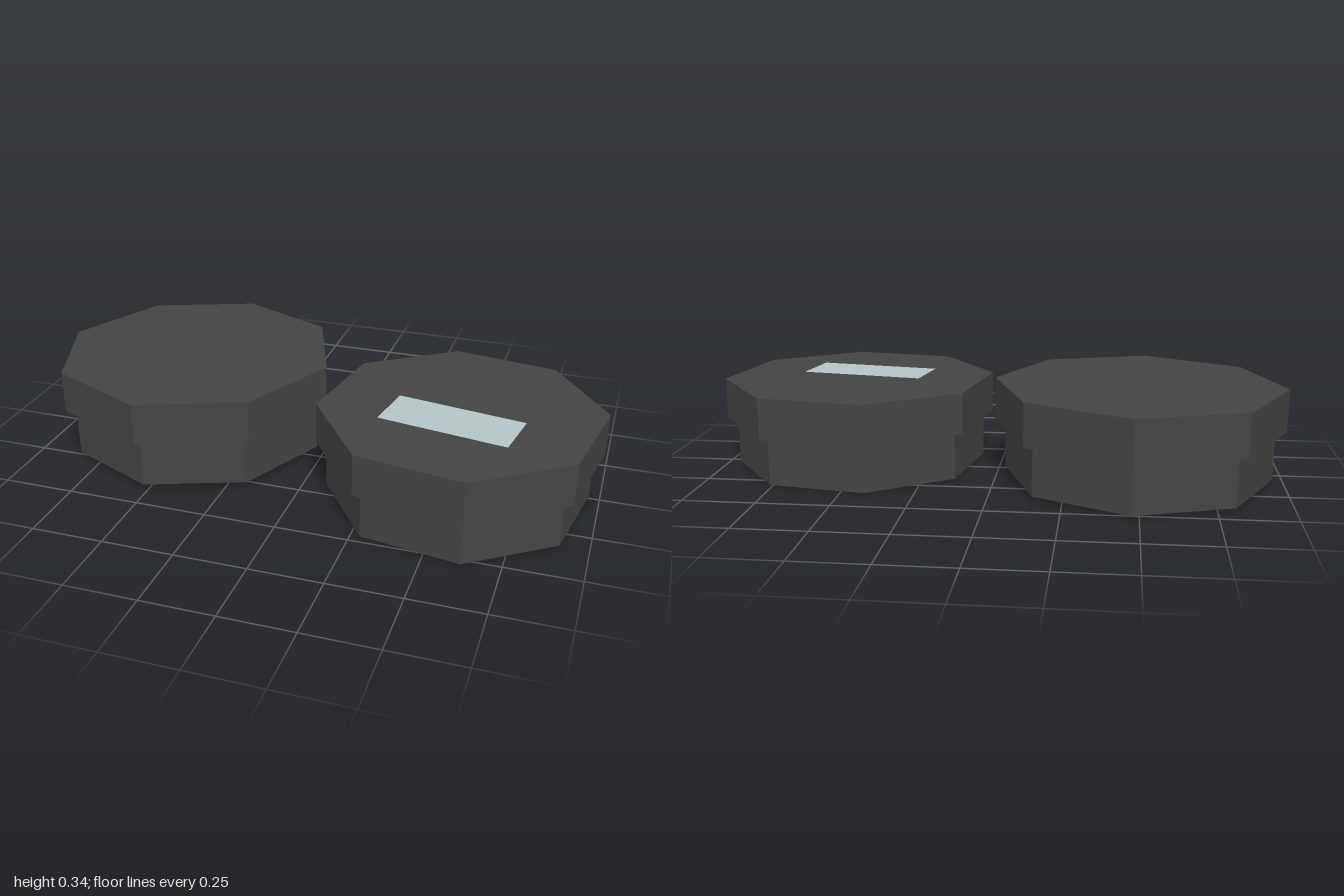
import * as THREE from 'three';

const dark = new THREE.MeshStandardMaterial({ color: 0x444444, flatShading: true });
const pale = new THREE.MeshStandardMaterial({ color: 0xb4c6cc, flatShading: true });

const BASE_H = 0.168, LID_H = 0.145, LID_R = 0.49, BASE_R = 0.453;

// Eight-sided prism standing on height y, with a flat side facing front
function octagon(name, radius, height, y) {
  const geometry = new THREE.CylinderGeometry(radius, radius, height, 8);
  geometry.rotateY(Math.PI / 8);
  const mesh = new THREE.Mesh(geometry, dark);
  mesh.name = name;
  mesh.position.y = y + height / 2;
  return mesh;
}

// Tin with a wider lid and a rectangular label near the front of the lid
function tin(name, labelMaterial) {
  const group = new THREE.Group();
  group.name = name;
  const label = new THREE.Mesh(new THREE.PlaneGeometry(0.451, 0.188), labelMaterial);
  label.name = 'label';
  label.rotation.x = -Math.PI / 2;
  label.position.set(0, BASE_H + LID_H + 0.0015, 0.0935);
  group.add(
    octagon('base', BASE_R, BASE_H, 0),
    octagon('lid', LID_R, LID_H, BASE_H),
    label
  );
  return group;
}

export function createModel() {
  const model = new THREE.Group();
  model.name = 'pairOfTins';

  // Left tin, level, with a pale label
  const left = tin('leftTin', pale);
  left.position.set(0.522, 0, 0.083);
  left.rotation.y = -0.168;

  // Right tin, slightly larger and tipped a little
  const right = tin('rightTin', dark);
  right.scale.setScalar(1.035);
  right.rotation.y = 0.347;
  const tilt = new THREE.Group();
  tilt.name = 'tippedTin';
  tilt.position.set(-0.495, 0.013, -0.06);
  tilt.rotation.set(-0.009, 0, 0.01);
  tilt.add(right);

  model.add(left, tilt);
  return model;
}
